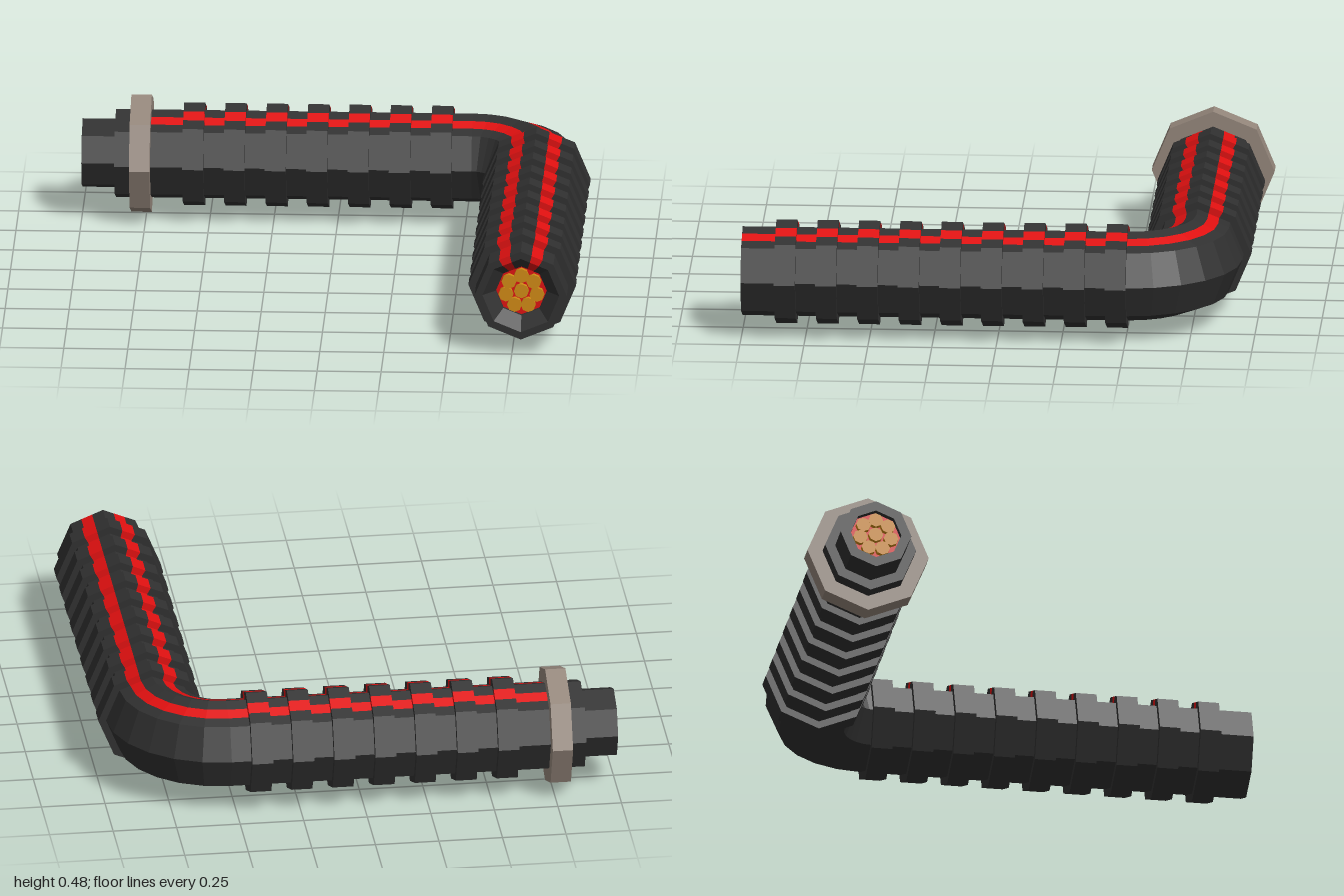
import * as THREE from 'three';

const rubber = new THREE.MeshStandardMaterial({ color: 0x303030 });
rubber.name = 'dark rubber';
const red = new THREE.MeshStandardMaterial({ color: 0xe01010 });
red.name = 'red stripe';
const metal = new THREE.MeshStandardMaterial({ color: 0x94867b });
metal.name = 'warm grey metal';
const copper = new THREE.MeshStandardMaterial({ color: 0xd08a14 });
copper.name = 'copper';

const Y = 0.24, BACK_Z = -0.76, SIDE_X = 0.785, BEND = 0.26;
const PIPE = 0.18, RIB = 0.21, PITCH = 0.1615, RIB_W = 0.082;

// Octagon with a corner on top; the two upper facets are split in thirds, the middle third is the stripe
function section() {
  const corner = (i) => [Math.cos(i * Math.PI / 4), Math.sin(i * Math.PI / 4)];
  const points = [];
  for (let i = 0; i < 8; i++) {
    const a = corner(i), b = corner(i + 1);
    const parts = i === 1 || i === 2 ? 3 : 1;
    for (let k = 0; k < parts; k++) {
      const t = k / parts;
      points.push({ u: a[0] + (b[0] - a[0]) * t, v: a[1] + (b[1] - a[1]) * t, stripe: parts === 3 && k === 1 });
    }
  }
  return points;
}

// Skins octagonal rings { x, z, angle, r }; angle 0 heads along +x, PI/2 along +z
function loft(name, rings, baseMaterial, striped = false) {
  const outline = section();
  const place = (ring, p) => [
    ring.x + Math.sin(ring.angle) * p.u * ring.r,
    Y + p.v * ring.r,
    ring.z - Math.cos(ring.angle) * p.u * ring.r,
  ];
  const base = [], stripe = [];
  for (let i = 0; i < rings.length - 1; i++) {
    outline.forEach((p, k) => {
      const q = outline[(k + 1) % outline.length];
      const a = place(rings[i], p), b = place(rings[i], q);
      const c = place(rings[i + 1], q), d = place(rings[i + 1], p);
      (striped && p.stripe ? stripe : base).push(...a, ...b, ...c, ...a, ...c, ...d);
    });
  }
  const geometry = new THREE.BufferGeometry();
  geometry.setAttribute('position', new THREE.Float32BufferAttribute(base.concat(stripe), 3));
  geometry.computeVertexNormals();
  geometry.addGroup(0, base.length / 3, 0);
  if (stripe.length) geometry.addGroup(base.length / 3, stripe.length / 3, 1);
  const mesh = new THREE.Mesh(geometry, [baseMaterial, red]);
  mesh.name = name;
  return mesh;
}

const alongX = (x, r) => ({ x, z: BACK_Z, angle: 0, r });
const alongZ = (z, r) => ({ x: SIDE_X, z, angle: Math.PI / 2, r });

// Square-shouldered ribs at an even pitch
function ribs(rings, place, first, count) {
  for (let i = 0; i < count; i++) {
    const a = first + i * PITCH - RIB_W / 2, b = a + RIB_W;
    rings.push(place(a, PIPE), place(a, RIB), place(b, RIB), place(b, PIPE));
  }
}

// Bundle of wire ends on a red backing, facing +z
function wireBundle(name) {
  const bundle = new THREE.Group();
  bundle.name = name;
  const backing = new THREE.Mesh(new THREE.CircleGeometry(0.1, 8), red);
  backing.name = 'wireBacking';
  bundle.add(backing);
  const wire = new THREE.CylinderGeometry(0.029, 0.029, 0.02, 8).rotateX(Math.PI / 2);
  for (let i = 0; i < 8; i++) {
    const end = new THREE.Mesh(wire, copper);
    end.name = 'wireEnd';
    const a = i * Math.PI * 2 / 7 + Math.PI / 2;
    const reach = i === 7 ? 0 : 0.062;
    end.position.set(Math.cos(a) * reach, Math.sin(a) * reach, 0.01);
    bundle.add(end);
  }
  return bundle;
}

export function createModel() {
  const model = new THREE.Group();
  model.name = 'corrugatedCableHose';

  // Ribbed hose: straight run, quarter bend, straight run, hollow mouth
  const hose = [alongX(-0.73, PIPE)];
  ribs(hose, alongX, -0.5625, 7);
  for (let i = 0; i <= 6; i++) {
    const t = (i / 6) * Math.PI / 2;
    hose.push({
      x: SIDE_X - BEND + Math.sin(t) * BEND,
      z: BACK_Z + BEND - Math.cos(t) * BEND,
      angle: t,
      r: PIPE,
    });
  }
  ribs(hose, alongZ, -0.465, 9);
  hose.push(alongZ(1, PIPE), alongZ(1, 0.15), alongZ(0.94, 0.1), alongZ(0.92, 0.1));
  model.add(loft('hose', hose, rubber, true));

  // Stepped end fitting with a hollow tip
  model.add(loft('endFitting', [
    alongX(-0.97, 0.1), alongX(-1, 0.1), alongX(-1, 0.14),
    alongX(-0.87, 0.14), alongX(-0.87, PIPE), alongX(-0.73, PIPE),
  ], rubber));

  // Metal clamp ring
  model.add(loft('collar', [
    alongX(-0.81, PIPE), alongX(-0.81, 0.24), alongX(-0.73, 0.24), alongX(-0.73, PIPE),
  ], metal));

  // Wires showing in both openings
  const mouthWires = wireBundle('mouthWires');
  mouthWires.position.set(SIDE_X, Y, 0.925);
  const fittingWires = wireBundle('fittingWires');
  fittingWires.position.set(-0.975, Y, BACK_Z);
  fittingWires.rotation.y = -Math.PI / 2;
  model.add(mouthWires, fittingWires);

  return model;
}
